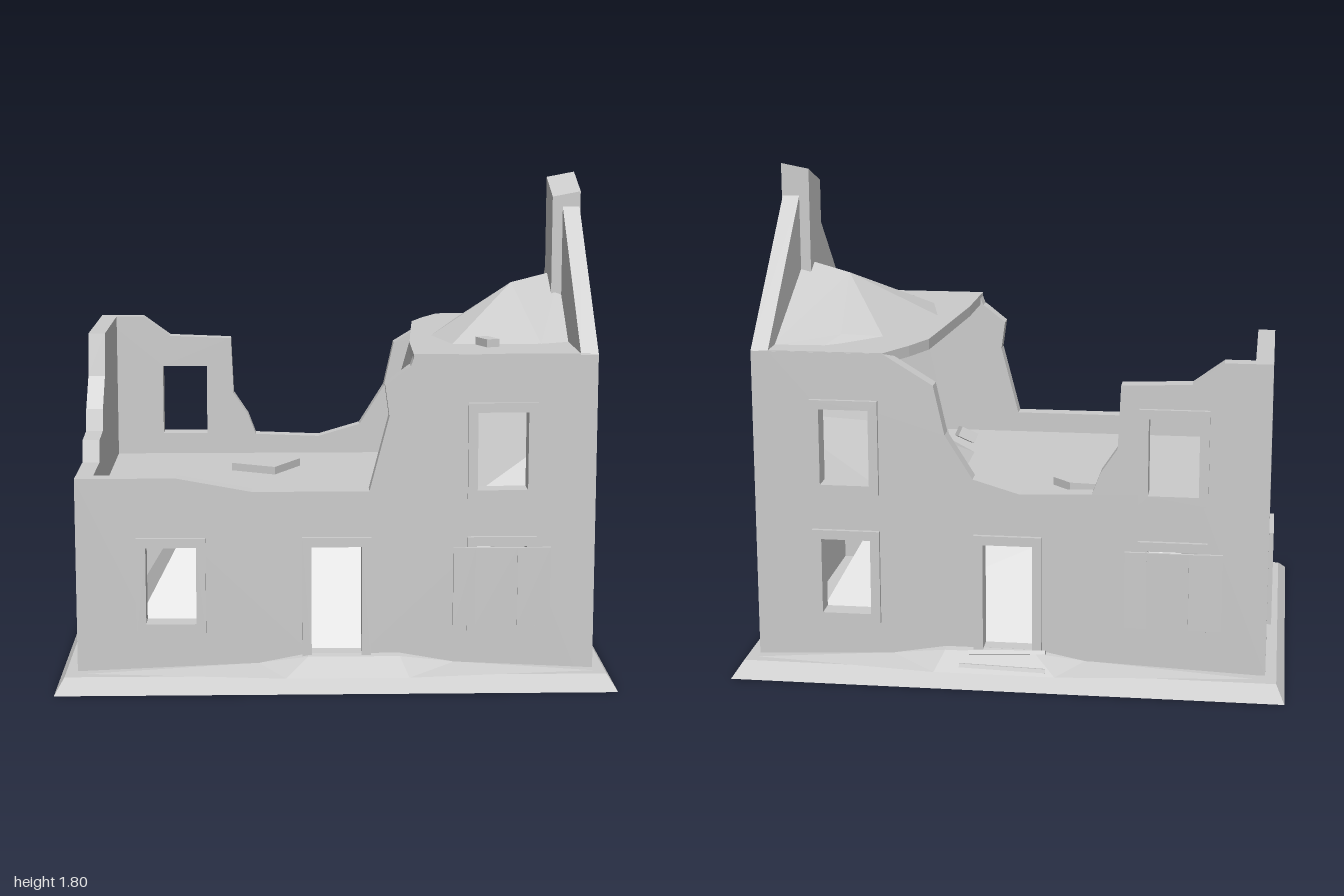
import * as THREE from 'three';

const T = 0.063, X = 0.93, Z = 0.622;

export function createModel() {
  const model = new THREE.Group();
  const mat = new THREE.MeshStandardMaterial({ color: 0xcccccc, flatShading: true, side: THREE.DoubleSide });

  const add = (name, geo, parent = model) => {
    const mesh = new THREE.Mesh(geo, mat);
    mesh.name = name;
    parent.add(mesh);
    return mesh;
  };
  const shapeOf = pts => new THREE.Shape(pts.map(p => new THREE.Vector2(...p)));
  const rect = (x0, x1, y0, y1) => [[x0, y0], [x1, y0], [x1, y1], [x0, y1]];

  // Flat panel in the xy plane with openings, thickness towards +z
  const panel = (pts, holes, depth) => {
    const s = shapeOf(pts);
    holes.forEach(h => s.holes.push(shapeOf(rect(...h))));
    return new THREE.ExtrudeGeometry(s, { depth, bevelEnabled: false });
  };

  // Faceted surface from a few corners
  const facets = (name, pts, faces) => {
    const geo = new THREE.BufferGeometry();
    geo.setAttribute('position', new THREE.Float32BufferAttribute(
      faces.flatMap(f => f.flatMap(i => pts[i])), 3));
    geo.computeVertexNormals();
    return add(name, geo);
  };

  // Four-sided block that tapers upward
  const frustum = (name, bx, bz, tx, tz, y0, y1) => {
    const geo = new THREE.BoxGeometry(2, y1 - y0, 2);
    const p = geo.attributes.position;
    for (let i = 0; i < p.count; i++) {
      const top = p.getY(i) > 0;
      p.setX(i, p.getX(i) * (top ? tx : bx));
      p.setZ(i, p.getZ(i) * (top ? tz : bz));
    }
    geo.translate(0, (y0 + y1) / 2, 0);
    return add(name, geo);
  };

  frustum('base', 1, 0.78, 0.97, 0.7, 0, 0.045);

  // Openings: [x0, x1, y0, y1]
  const low = c => [c - 0.09, c + 0.09, 0.22, 0.5];
  const high = c => [c - 0.09, c + 0.09, 0.705, 0.985];
  const door = [-0.087, 0.093, 0.105, 0.5];

  // Front and back walls with broken tops
  const frontHoles = [low(-0.59), door, low(0.595), high(0.595)];
  const backHoles = [low(-0.59), door, low(0.595), high(-0.59), high(0.595)];
  add('frontWall', panel([[-X, 0.04], [X - T, 0.04], [X - T, 1.19], [0.28, 1.19], [0.265, 1.15], [0.25, 1.14],
    [0.175, 1.08], [0.19, 0.97], [0.12, 0.7], [-0.3, 0.7], [-0.57, 0.75], [-X, 0.75]], frontHoles, T))
    .position.z = Z - T;
  add('backWall', panel([[-X, 0.04], [X - T, 0.04], [X - T, 1.19], [0.45, 1.19], [0.27, 1.08], [0.23, 0.9],
    [0.13, 0.74], [-0.04, 0.69], [-0.3, 0.7], [-0.33, 0.78], [-0.39, 0.87], [-0.4, 1.1],
    [-0.65, 1.11], [-0.76, 1.19], [-X, 1.19]], backHoles, T)).position.z = -Z;

  // Side walls, drawn along z
  const sideWall = (name, pts, hole, x) =>
    add(name, panel(pts, [hole], T).rotateY(-Math.PI / 2)).position.x = x;
  const I = Z - T;
  sideWall('gableWall', [[-Z, 0.04], [Z, 0.04], [Z, 1.19], [0.09, 1.68], [-0.09, 1.68], [-Z, 1.19]], low(0.345), X);
  sideWall('brokenSideWall', [[-I, 0.04], [I, 0.04], [I, 0.75], [0.31, 0.75], [0.29, 0.83], [0.15, 0.84],
    [0.13, 0.92], [0.02, 1.03], [-0.01, 1.19], [-I, 1.19]], low(-0.345), T - X);

  // Raised frames around the openings
  const frame = (name, h, isDoor, place) => {
    const w = 0.034;
    const outer = rect(h[0] - w, h[1] + w, isDoor ? 0.05 : h[2] - w, h[3] + w);
    const geo = isDoor
      ? panel([[h[0] - w, 0.05], [h[0], 0.05], [h[0], h[3]], [h[1], h[3]], [h[1], 0.05],
        [h[1] + w, 0.05], [h[1] + w, h[3] + w], [h[0] - w, h[3] + w]], [], 0.016)
      : panel(outer, [h], 0.016);
    place(add(name, geo));
  };
  const onFront = m => { m.position.z = Z; };
  const onBack = m => { m.position.z = -Z - 0.016; };
  frontHoles.forEach(h => frame(h === door ? 'frontDoorFrame' : 'frontWindowFrame', h, h === door, onFront));
  backHoles.forEach(h => frame(h === door ? 'backDoorFrame' : 'backWindowFrame', h, h === door, onBack));
  const onSide = x => m => { m.geometry.rotateY(-Math.PI / 2); m.position.x = x; };
  frame('gableWindowFrame', low(0.345), false, onSide(X + 0.016));
  frame('sideWindowFrame', low(-0.345), false, onSide(-X));

  // Crooked shutters over one window on the front and one on the back
  for (const s of [1, -1]) {
    const shutters = new THREE.Group();
    shutters.name = s > 0 ? 'frontShutters' : 'backShutters';
    [[0.42, 0.5, 0.03], [0.5, 0.65, -0.02], [0.65, 0.77, 0.03]].forEach(([a, b, turn]) => {
      const m = add('shutter', new THREE.BoxGeometry(b - a, 0.285, 0.012), shutters);
      m.position.set((a + b) / 2, 0.355, Z + 0.022);
      m.rotation.y = turn;
    });
    if (s < 0) shutters.rotation.y = Math.PI;
    model.add(shutters);
  }

  // Upper floor and the sloping heap below it
  add('upperFloor', new THREE.BoxGeometry(2 * (X - T), 0.04, 2 * I)).position.y = 0.6;
  frustum('groundFloorHeap', 0.8, 0.5, 0.5, 0.2, 0.04, 0.58);

  // Remaining attic deck with a ragged edge
  const deck = shapeOf([[0.45, -0.62], [0.38, -0.48], [0.33, -0.35], [0.31, -0.1], [0.28, 0.3], [0.275, 0.62],
    [0.9, 0.62], [0.9, -0.62]]);
  add('atticDeck', new THREE.ExtrudeGeometry(deck, { depth: 0.04, bevelEnabled: false }).rotateX(Math.PI / 2))
    .position.y = 1.193;

  // Collapsed roof piled against the gable
  facets('collapsedRoof', [[0.37, 1.19, 0.1], [0.5, 1.2, -0.36], [0.64, 1.22, -0.43], [0.69, 1.19, -0.52],
    [0.88, 1.19, -0.53], [0.69, 1.38, -0.04], [0.88, 1.43, -0.03], [0.43, 1.19, 0.36],
    [0.76, 1.19, 0.36], [0.88, 1.19, 0.3]],
  [[0, 5, 1], [1, 5, 2], [1, 2, 3], [2, 4, 3], [2, 5, 4], [5, 6, 4], [0, 7, 5], [7, 8, 5], [5, 8, 6], [8, 9, 6]]);

  // Chimney with a sloping broken top
  const chimney = new THREE.BoxGeometry(0.105, 0.46, 0.185);
  const cp = chimney.attributes.position;
  for (let i = 0; i < cp.count; i++)
    if (cp.getY(i) > 0) cp.setY(i, 0.195 + (cp.getZ(i) < 0 ? 0.055 : -0.01) + (cp.getX(i) > 0 ? 0.01 : -0.01));
  add('chimney', chimney).position.set(0.881, 1.54, 0);

  // Fallen rubble rising towards the gable under the deck
  facets('upperRubble', [[0.24, 0.62, -0.45], [0.87, 0.95, -0.56], [0.87, 0.9, 0.4], [0.25, 0.62, 0.2],
    [0.5, 0.82, -0.15], [0.45, 0.62, 0.5], [0.87, 0.62, 0.5], [0.4, 0.62, -0.56]],
  [[0, 4, 7], [7, 4, 1], [0, 3, 4], [4, 2, 1], [3, 5, 4], [5, 2, 4], [5, 6, 2]]);

  // Torn panel hanging from the deck edge
  facets('hangingPanel', [[0.45, 1.15, -0.56], [0.33, 1.15, -0.33], [0.24, 0.8, -0.4], [0.26, 0.72, -0.55]],
    [[0, 2, 1], [0, 3, 2]]);

  // Loose pieces
  const slab = shapeOf([[-0.39, -0.16], [-0.29, -0.33], [-0.19, -0.32], [-0.12, -0.25], [-0.22, -0.07]]);
  add('floorSlab', new THREE.ExtrudeGeometry(slab, { depth: 0.03, bevelEnabled: false }).rotateX(Math.PI / 2))
    .position.y = 0.655;
  const piece = (name, size, pos, rot) => {
    const m = add(name, new THREE.BoxGeometry(...size));
    m.position.set(...pos);
    m.rotation.set(...rot);
  };
  piece('deckStone', [0.05, 0.03, 0.09], [0.557, 1.207, 0.4], [0, 0.4, 0]);
  piece('edgeStone', [0.07, 0.04, 0.06], [0.27, 0.71, 0.13], [0.2, 0.4, 0.4]);
  piece('backPlank', [0.31, 0.014, 0.03], [0.01, 0.07, -0.73], [0.3, 0.08, 0.03]);
  piece('backPlank', [0.28, 0.014, 0.035], [0, 0.11, -0.675], [0.4, 0.03, -0.04]);

  // Spilled earth at both doors, with low drifts along the walls
  for (const s of [1, -1]) {
    const pts = [[-0.28, 0.07, 0.62], [-0.1, 0.105, 0.62], [0.23, 0.105, 0.62], [0.43, 0.07, 0.62],
      [0.26, 0.045, 0.735], [-0.18, 0.045, 0.735], [-0.1, 0.1, 0.65], [0.23, 0.1, 0.65],
      [-0.9, 0.045, 0.66], [0.93, 0.045, 0.66], [-0.9, 0.045, 0.62], [0.93, 0.045, 0.62]]
      .map(([x, y, z]) => [x, y, z * s]);
    facets(s > 0 ? 'frontEarth' : 'backEarth', pts, [[0, 6, 1], [0, 5, 6], [1, 6, 7], [1, 7, 2], [2, 7, 3],
      [3, 7, 4], [5, 4, 7], [5, 7, 6], [10, 8, 0], [8, 5, 0], [3, 9, 11], [3, 4, 9]]);
  }

  return model;
}
